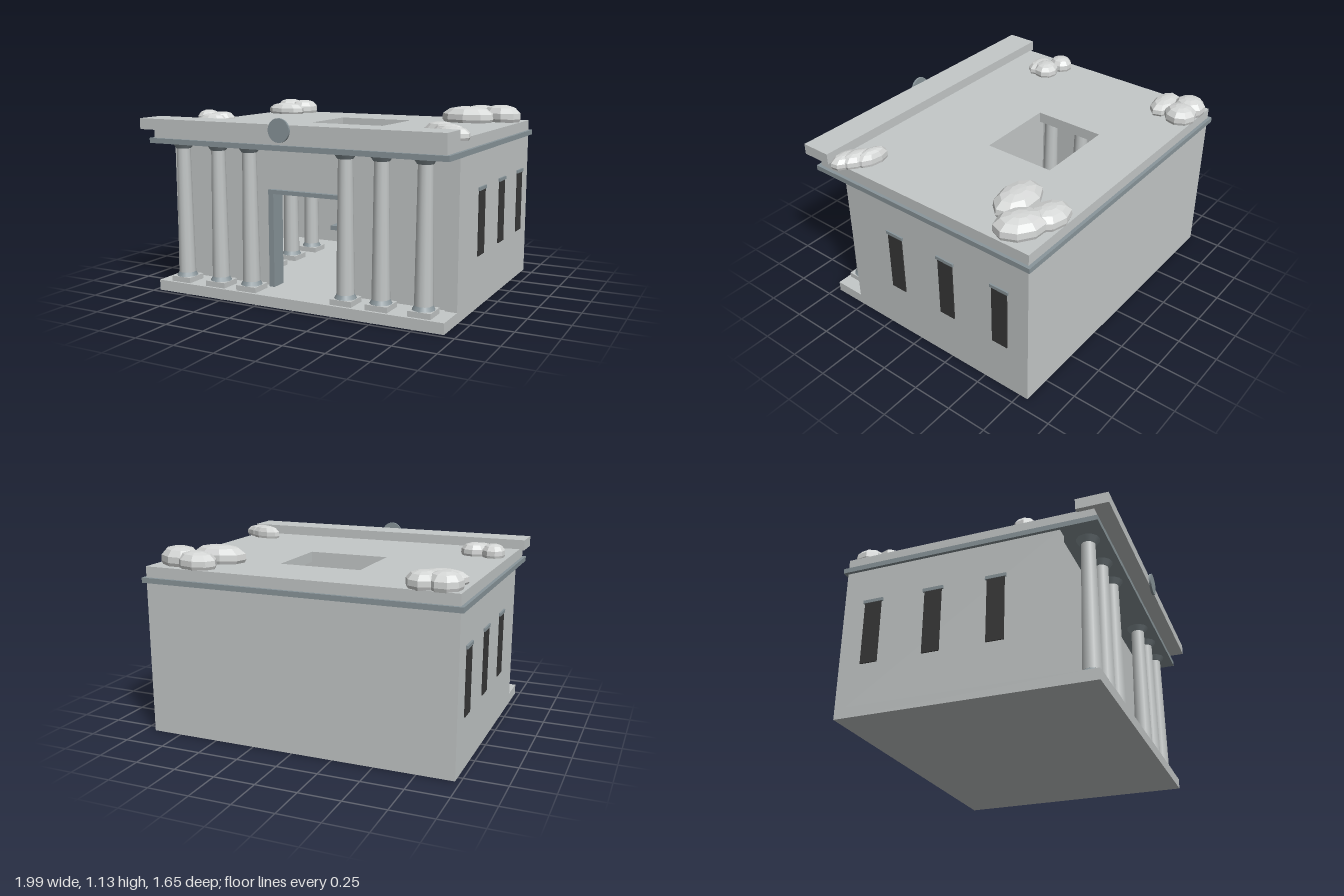
import * as THREE from 'three';

const mat = (name, color) => {
  const m = new THREE.MeshStandardMaterial({ color });
  m.name = name;
  return m;
};

export function createModel() {
  const model = new THREE.Group();
  model.name = 'columnedHall';
  const stone = mat('pale stone', 0xc4c8c8);
  const slate = mat('blue grey trim', 0x8a969b);
  const dark = mat('dark window', 0x383838);
  const boulder = mat('light rock', 0xd6d8d7);
  const CX = -0.02; // the hall's own axis

  const add = (name, geo, material, parent = model) => {
    const m = new THREE.Mesh(geo, material);
    m.name = name;
    parent.add(m);
    return m;
  };
  // Box given by its limits
  const box = (name, x0, x1, y0, y1, z0, z1, material, parent) => {
    const g = new THREE.BoxGeometry(x1 - x0, y1 - y0, z1 - z0);
    g.translate((x0 + x1) / 2, (y0 + y1) / 2, (z0 + z1) / 2);
    return add(name, g, material, parent);
  };
  const rect = (target, [x0, x1, z0, z1]) => {
    target.moveTo(x0, z0);
    target.lineTo(x1, z0);
    target.lineTo(x1, z1);
    target.lineTo(x0, z1);
    target.closePath();
    return target;
  };
  // Horizontal slab with a rectangular opening
  const slab = (name, outer, inner, y0, y1, material) => {
    const s = rect(new THREE.Shape(), outer);
    s.holes.push(rect(new THREE.Path(), inner));
    const g = new THREE.ExtrudeGeometry(s, { depth: y1 - y0, bevelEnabled: false });
    g.rotateX(Math.PI / 2).translate(0, y1, 0);
    return add(name, g, material);
  };

  // Floor and walls
  box('floorSlab', -0.97, 0.93, 0, 0.065, -0.805, 0.72, stone);
  box('backWall', -0.97, 0.93, 0.065, 0.93, -0.805, -0.735, stone);
  for (const s of [-1, 1]) {
    const a = CX + s * 0.95, b = CX + s * 0.88;
    box('sideWall', Math.min(a, b), Math.max(a, b), 0.065, 0.93, -0.735, 0.522, stone);
  }
  box('frontWallLeft', 0.22, 0.86, 0.065, 0.93, 0.44, 0.505, stone);
  box('frontWallRight', -0.9, -0.26, 0.065, 0.93, 0.44, 0.505, stone);
  box('frontWallTop', -0.26, 0.22, 0.65, 0.93, 0.44, 0.505, stone);

  // Doorway trim
  box('doorPost', -0.275, -0.24, 0.065, 0.64, 0.43, 0.535, slate);
  box('doorPost', 0.2, 0.235, 0.065, 0.64, 0.43, 0.535, slate);
  box('doorLintel', -0.275, 0.235, 0.64, 0.665, 0.43, 0.535, slate);

  // Cornice, roof with light well, front parapet
  slab('cornice', [-0.99, 0.95, -0.825, 0.742], [-0.9, 0.86, -0.735, 0.44], 0.93, 0.961, slate);
  slab('roof', [-0.97, 0.93, -0.805, 0.72], [-0.27, 0.238, -0.43, 0.015], 0.961, 1.026, stone);
  box('parapet', -1, 0.962, 1.02, 1.086, 0.62, 0.812, stone);
  const disc = new THREE.CylinderGeometry(0.068, 0.068, 0.014, 24);
  disc.rotateX(Math.PI / 2).translate(CX, 1.055, 0.818);
  add('medallion', disc, slate);

  // Columns: porch row and inner rows
  const column = (name, x, z) => {
    const g = new THREE.Group();
    g.name = name;
    g.position.set(x, 0, z);
    model.add(g);
    box('plinth', -0.068, 0.068, 0.065, 0.098, -0.068, 0.068, stone, g);
    add('columnBase', new THREE.CylinderGeometry(0.052, 0.066, 0.024, 12).translate(0, 0.11, 0), slate, g);
    add('shaft', new THREE.CylinderGeometry(0.042, 0.053, 0.778, 12).translate(0, 0.511, 0), stone, g);
    add('capital', new THREE.CylinderGeometry(0.069, 0.046, 0.033, 12).translate(0, 0.9145, 0), slate, g);
  };
  for (const s of [-1, 1]) {
    for (const d of [0.318, 0.54, 0.797]) column('porchColumn', CX + s * d, 0.635);
    for (const z of [0.1, -0.14, -0.42]) column('innerColumn', CX + s * 0.5, z);
  }

  // Side windows with lintels
  for (const s of [-1, 1]) {
    for (const z of [0.149, -0.232, -0.614]) {
      const w = add('window', new THREE.BoxGeometry(0.008, 0.385, 0.105), dark);
      w.position.set(CX + s * 0.953, 0.508, z);
      const l = add('windowLintel', new THREE.BoxGeometry(0.016, 0.02, 0.125), slate);
      l.position.set(CX + s * 0.953, 0.71, z);
    }
    // Hanging panels on the inner back wall
    const p = add('wallPanel', new THREE.BoxGeometry(0.15, 0.35, 0.008), slate);
    p.position.set(CX + s * 0.37, 0.63, -0.732);
  }

  // Counter, shelf and small wares
  box('counterBody', -0.2, 0.16, 0.065, 0.255, -0.58, -0.33, stone);
  box('counterPanel', -0.2, 0.16, 0.065, 0.18, -0.33, -0.325, stone);
  box('counterTop', -0.3, 0.26, 0.255, 0.285, -0.6, -0.3, slate);
  box('shelf', -0.225, 0.185, 0.505, 0.525, -0.735, -0.62, slate);
  add('plate', new THREE.CylinderGeometry(0.08, 0.06, 0.008, 20).translate(-0.118, 0.289, -0.42), slate);
  add('jar', new THREE.SphereGeometry(0.028, 12, 8).translate(0.095, 0.312, -0.378), slate);
  box('floorSeam', -0.07, 0.03, 0.065, 0.067, -0.115, -0.109, slate);

  // Faceted flat-bottomed rocks on the roof: x, z, radius x, radius z, height, turn
  const rocks = [
    [-0.86, -0.72, 0.1, 0.1, 0.1, 0], [-0.745, -0.72, 0.1, 0.1, 0.095, 0.3], [-0.81, -0.578, 0.14, 0.077, 0.08, 0],
    [0.635, -0.715, 0.135, 0.095, 0.1, -0.25], [0.79, -0.645, 0.15, 0.11, 0.11, -0.6], [0.615, -0.495, 0.175, 0.11, 0.105, 0],
    [-0.875, 0.285, 0.072, 0.076, 0.085, 0], [-0.75, 0.32, 0.087, 0.08, 0.08, 0.4], [-0.772, 0.385, 0.1, 0.062, 0.07, 0],
    [0.785, 0.435, 0.105, 0.05, 0.085, -0.15], [0.85, 0.49, 0.1, 0.06, 0.08, -0.2], [0.888, 0.535, 0.105, 0.06, 0.07, -0.15],
  ];
  const profile = [[0, 0], [0.92, 0], [1, 0.22], [0.98, 0.55], [0.72, 0.86], [0.34, 0.98], [0, 1]]
    .map(([r, y]) => new THREE.Vector2(r, y));
  for (const [x, z, rx, rz, h, turn] of rocks) {
    const g = new THREE.LatheGeometry(profile, 9).toNonIndexed();
    g.scale(rx, h, rz).rotateY(turn);
    g.computeVertexNormals();
    add('roofRock', g, boulder).position.set(x, 1.022, z);
  }
  return model;
}
